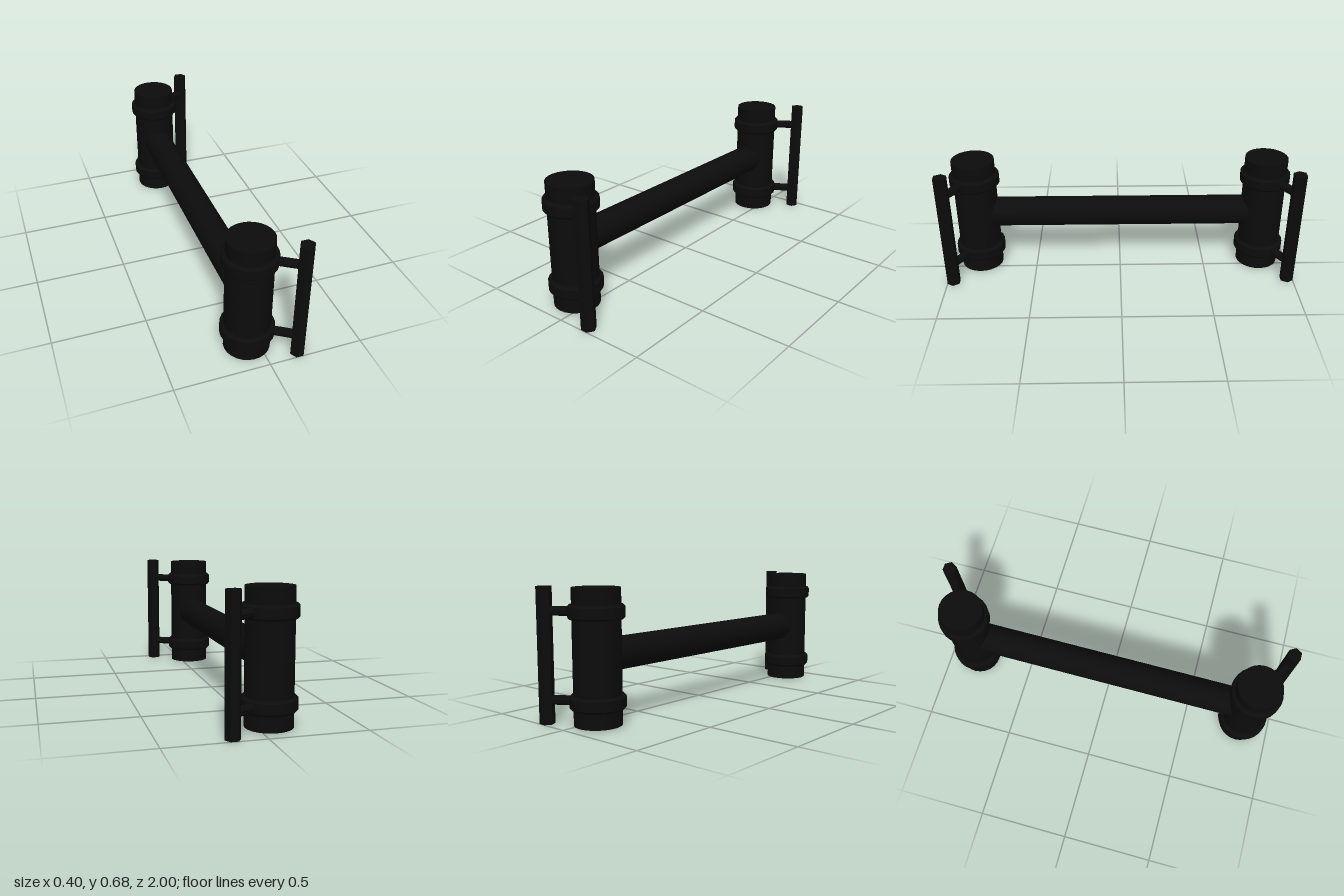
import * as THREE from 'three';
import { toCreasedNormals } from 'three/addons/utils/BufferGeometryUtils.js';

const material = new THREE.MeshStandardMaterial({ color: 0x0c0c0c });
const POST = new THREE.Vector2(-0.06, 0.827); // x, z of the post axis
const ROD = new THREE.Vector2(0.161, 0.966); // x, z of the handle rod axis
const LEVELS = [0.121, 0.562]; // heights of the clamps and struts

function add(group, name, geometry, x, y, z) {
  const mesh = new THREE.Mesh(toCreasedNormals(geometry, 0.5), material);
  mesh.name = name;
  mesh.position.set(x, y, z);
  group.add(mesh);
  return mesh;
}

// Chamfered band around a post
function clampGeometry() {
  const profile = [[0.11, -0.036], [0.13, -0.036], [0.14, -0.025], [0.14, 0.025], [0.13, 0.036], [0.11, 0.036]];
  return new THREE.LatheGeometry(profile.map(([r, y]) => new THREE.Vector2(r, y)), 24);
}

// One post with its clamps, struts and upright handle rod; side is +1 (front) or -1 (back)
function createEnd(side) {
  const end = new THREE.Group();
  end.name = side > 0 ? 'frontEnd' : 'backEnd';
  add(end, 'post', new THREE.CylinderGeometry(0.12, 0.12, 0.674, 24), POST.x, 0.342, side * POST.y);

  // Hexagonal rod with corners pointing along x
  const rod = new THREE.CylinderGeometry(0.039, 0.039, 0.682, 6).rotateY(Math.PI / 6);
  add(end, 'handleRod', rod, ROD.x, 0.341, side * ROD.y);

  const reach = new THREE.Vector3(ROD.x - POST.x, 0, side * (ROD.y - POST.y));
  for (const y of LEVELS) {
    add(end, 'clamp', clampGeometry(), POST.x, y, side * POST.y);
    // Strut from inside the post to the rod axis
    const strut = new THREE.CylinderGeometry(0.024, 0.024, reach.length() * 0.6, 8);
    const mesh = add(end, 'strut', strut, POST.x + reach.x * 0.7, y, side * POST.y + reach.z * 0.7);
    mesh.quaternion.setFromUnitVectors(new THREE.Vector3(0, 1, 0), reach.clone().normalize());
  }
  return end;
}

export function createModel() {
  const model = new THREE.Group();
  model.name = 'barWithTwoPosts';
  model.add(createEnd(1), createEnd(-1));

  // Long round crossbar joining the posts
  const bar = new THREE.CylinderGeometry(0.084, 0.084, POST.y * 2, 24).rotateX(Math.PI / 2);
  add(model, 'crossbar', bar, -0.062, 0.344, 0);
  return model;
}
